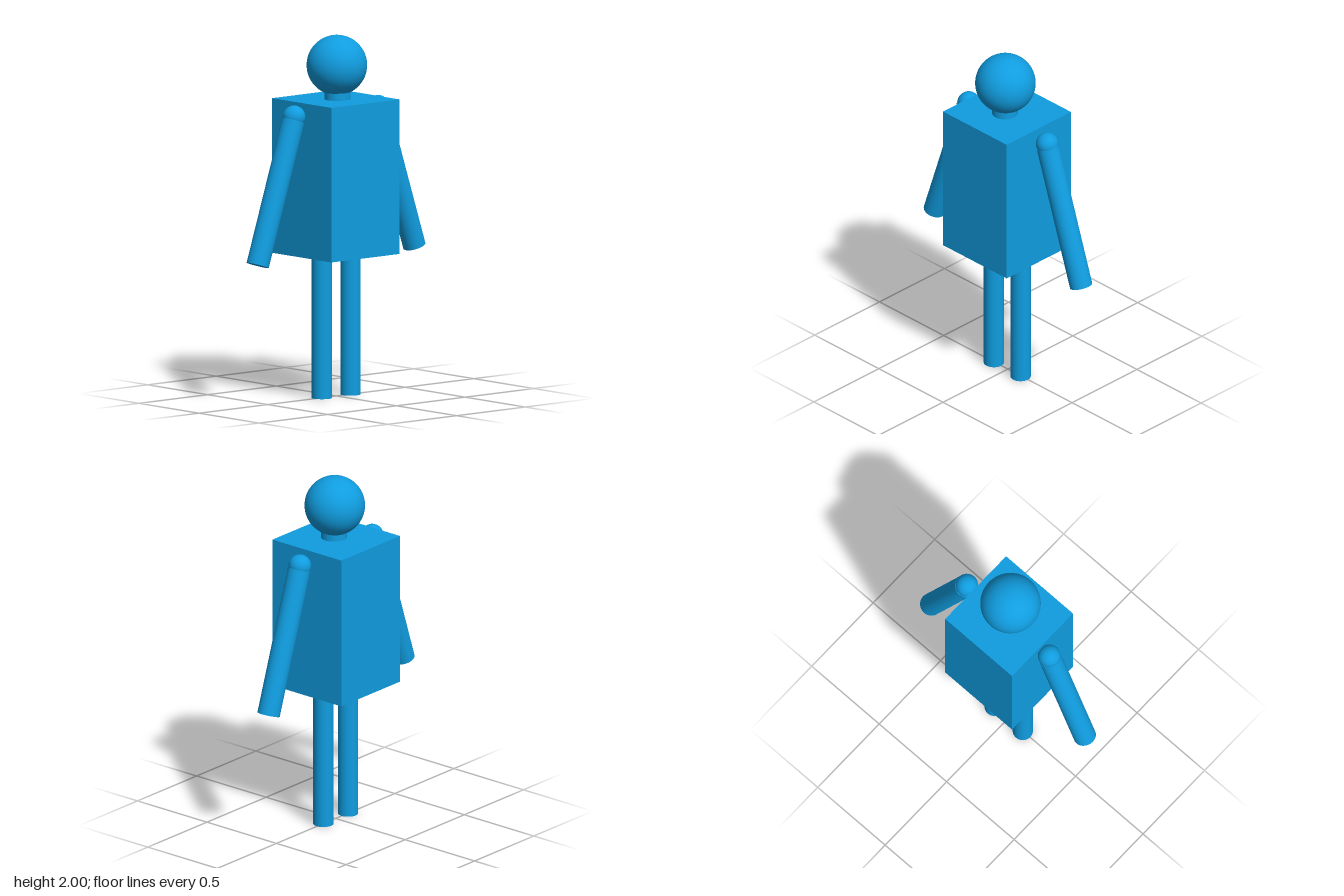
import * as THREE from 'three';

const material = new THREE.MeshStandardMaterial({ color: 0x109de0 });
const UP = new THREE.Vector3(0, 1, 0);

export function createModel() {
  const group = new THREE.Group();

  function add(name, geometry, x, y, z) {
    const mesh = new THREE.Mesh(geometry, material);
    mesh.name = name;
    mesh.position.set(x, y, z);
    group.add(mesh);
    return mesh;
  }

  // Capped cylinder between two points
  function rod(name, from, to, radius) {
    const a = new THREE.Vector3(...from);
    const b = new THREE.Vector3(...to);
    const mid = a.clone().add(b).multiplyScalar(0.5);
    const mesh = add(name, new THREE.CylinderGeometry(radius, radius, a.distanceTo(b), 48), mid.x, mid.y, mid.z);
    mesh.quaternion.setFromUnitVectors(UP, b.sub(a).normalize());
  }

  // Head, neck and torso
  add('head', new THREE.SphereGeometry(0.166, 64, 40), -0.007, 1.834, 0.012);
  rod('neck', [-0.006, 1.64, 0.017], [-0.006, 1.71, 0.017], 0.071);
  add('torso', new THREE.BoxGeometry(0.495, 0.856, 0.495), -0.006, 1.218, 0.001);

  // Paired limbs, mirrored about a slightly offset middle
  for (const [side, s] of [['left', 1], ['right', -1]]) {
    const armX = (x) => -0.001 + s * x;
    add(side + 'Shoulder', new THREE.SphereGeometry(0.0625, 40, 24), armX(0.306), 1.574, -0.002);
    rod(side + 'Arm', [armX(0.57), 0.777, -0.002], [armX(0.311), 1.555, -0.002], 0.0625);
    const legX = -0.003 + s * 0.104;
    rod(side + 'Leg', [legX, 0, 0.002], [legX, 0.8, 0.002], 0.056);
  }

  return group;
}
